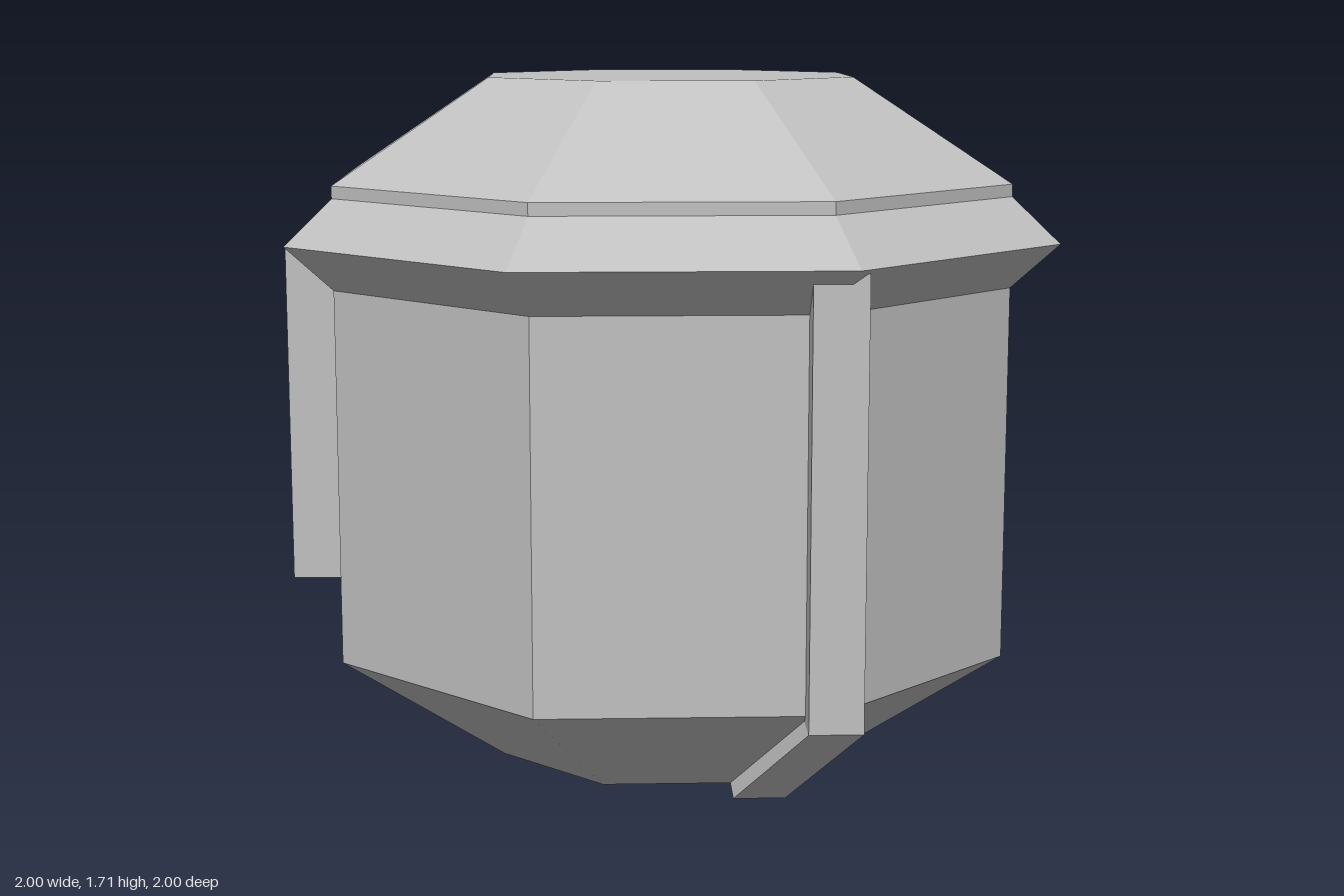
import * as THREE from 'three';

const grey = new THREE.MeshStandardMaterial({ color: 0xc0c0c0 });
grey.name = 'plain grey';

// Give every face its own flat normal
function flatMesh(geometry, name) {
  const flat = geometry.index ? geometry.toNonIndexed() : geometry;
  flat.computeVertexNormals();
  const mesh = new THREE.Mesh(flat, grey);
  mesh.name = name;
  return mesh;
}

// Eight-sided shell with corners on the axes, from [radius, height] points
function octagon(profile, name) {
  const points = profile.map(([r, y]) => new THREE.Vector2(r, y));
  return flatMesh(new THREE.LatheGeometry(points, 8), name);
}

export function createModel() {
  const model = new THREE.Group();
  model.name = 'octagonalHut';

  // Tapered base and upright walls
  model.add(octagon([[0, 0], [0.46, 0], [0.88, 0.29], [0.88, 1.21]], 'body'));

  // Flared rim and sloping roof with a flat top
  model.add(octagon(
    [[0.88, 1.21], [1, 1.32], [0.88, 1.43], [0.88, 1.46], [0.48, 1.71], [0, 1.71]],
    'roof'));

  // Corner pipe: square post turned to one wall, its foot swept in under the base
  const pipe = new THREE.BoxGeometry(0.125, 2, 0.118, 1, 2, 1);
  pipe.rotateY(-Math.PI / 8).translate(0, 0, 0.9);
  const pos = pipe.attributes.position;
  for (let i = 0; i < pos.count; i++) {
    const level = Math.round(pos.getY(i)) + 1;
    pos.setY(i, [0, 0.27, 1.31][level]);
    if (level === 0) pos.setZ(i, pos.getZ(i) - 0.38);
  }
  model.add(flatMesh(pipe, 'cornerPipe'));

  // Raised panel on one rear wall
  const angle = Math.PI * 11 / 8;
  const panel = flatMesh(new THREE.BoxGeometry(0.545, 0.82, 0.16), 'wallPanel');
  panel.position.set(Math.sin(angle) * 0.854, 0.9, Math.cos(angle) * 0.854);
  panel.rotation.y = angle;
  model.add(panel);

  return model;
}
